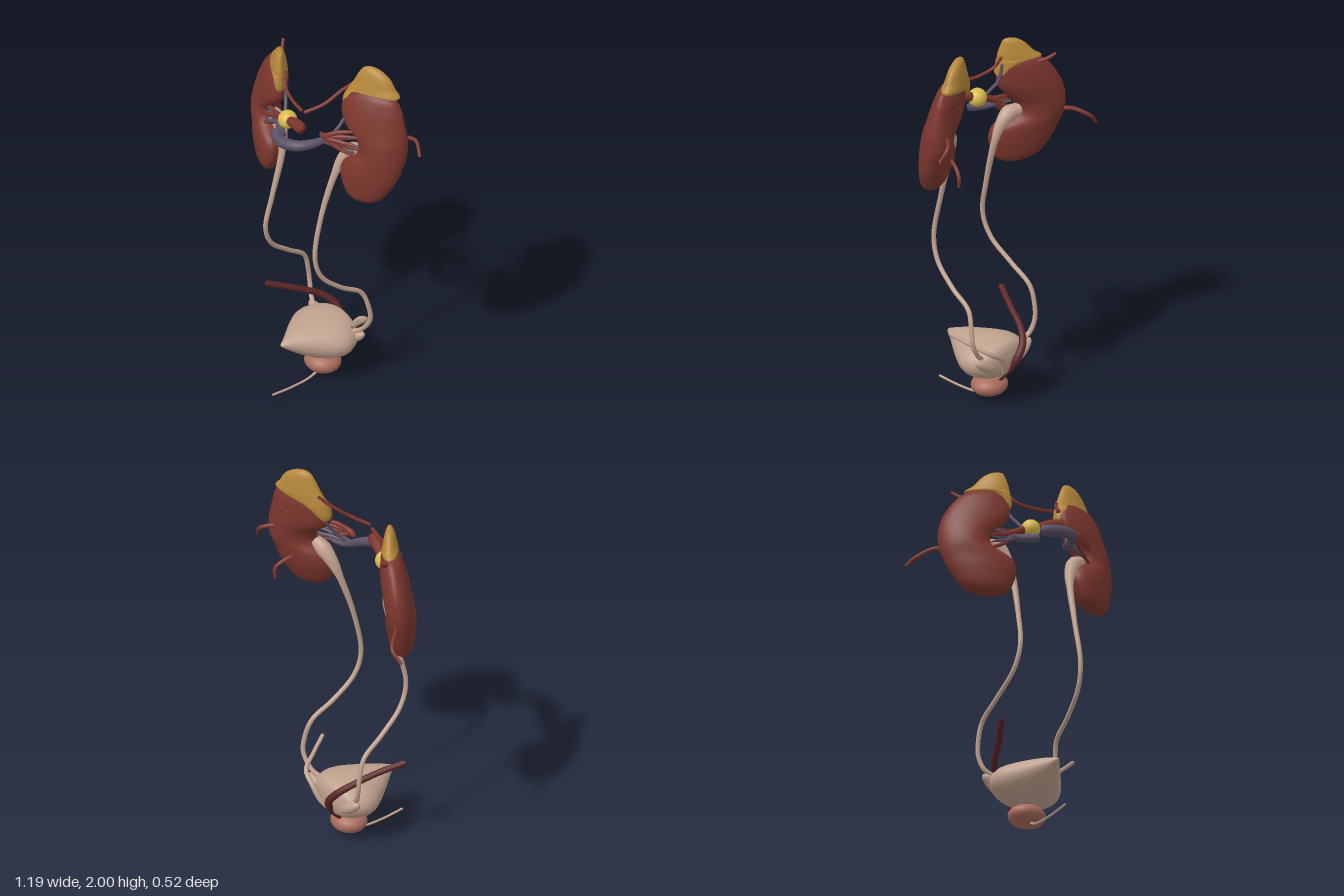
import * as THREE from 'three';

const mat = (name, color) => {
  const m = new THREE.MeshStandardMaterial({ color });
  m.name = name;
  return m;
};

// Smooth closed body from slices [t, lo, hi, centre, halfDepth]; shear tilts it in plan
function loft(rows, shear = 0, pivot = 0) {
  const seg = 32, n = (rows.length - 1) * 6;
  const edges = new THREE.CatmullRomCurve3(rows.map(r => new THREE.Vector3(r[1], r[0], r[2])), false, 'catmullrom', 0.5);
  const depth = new THREE.CatmullRomCurve3(rows.map(r => new THREE.Vector3(r[3], r[4], 0)), false, 'catmullrom', 0.5);
  const pos = [], idx = [];
  for (let i = 0; i <= n; i++) {
    const e = edges.getPoint(i / n), d = depth.getPoint(i / n);
    for (let j = 0; j < seg; j++) {
      const a = (j / seg) * Math.PI * 2;
      const x = (e.x + e.z) / 2 + ((e.z - e.x) / 2) * Math.cos(a);
      pos.push(x, e.y, d.x + Math.max(0, d.y) * Math.sin(a) + shear * (x - pivot));
      if (i === n) continue;
      const p = i * seg + j, q = i * seg + (j + 1) % seg;
      idx.push(p, p + seg, q, q, p + seg, q + seg);
    }
  }
  const g = new THREE.BufferGeometry();
  g.setAttribute('position', new THREE.Float32BufferAttribute(pos, 3));
  g.setIndex(idx);
  g.computeVertexNormals();
  return g;
}

// Tube through points [x, y, z, radius], closed at both ends
function vessel(pts, n = pts.length * 10, sides = 12) {
  const curve = new THREE.CatmullRomCurve3(pts.map(p => new THREE.Vector3(p[0], p[1], p[2])));
  const g = new THREE.TubeGeometry(curve, n, 1, sides);
  const pos = g.attributes.position, v = new THREE.Vector3();
  for (let i = 0; i <= n; i++) {
    const c = curve.getPointAt(i / n);
    const t = curve.getUtoTmapping(i / n) * (pts.length - 1);
    const k = Math.min(Math.floor(t), pts.length - 2);
    const r = i === 0 || i === n ? 0 : THREE.MathUtils.lerp(pts[k][3], pts[k + 1][3], t - k);
    for (let j = 0; j <= sides; j++) {
      const id = i * (sides + 1) + j;
      v.fromBufferAttribute(pos, id).sub(c).multiplyScalar(r).add(c);
      pos.setXYZ(id, v.x, v.y, v.z);
    }
  }
  return g;
}

export function createModel() {
  const model = new THREE.Group();
  const kidney = mat('kidney red', 0x7b362d);
  const artery = mat('artery red', 0x7d352c);
  const adrenal = mat('adrenal ochre', 0xb5873a);
  const beige = mat('bladder beige', 0xc0a18e);
  const vein = mat('vein violet', 0x5a5064);
  const gland = mat('gland pink', 0xa86b5c);
  const duct = mat('duct dark red', 0x5a2526);
  const yellow = mat('node yellow', 0xd9bc4c);
  const add = (name, geo, m) => {
    const mesh = new THREE.Mesh(geo, m);
    mesh.name = name;
    model.add(mesh);
    return mesh;
  };
  const ball = (name, m, [x, y, z], [rx, ry, rz], rotZ = 0) => {
    const b = add(name, new THREE.SphereGeometry(1, 32, 20), m);
    b.position.set(x, y, z);
    b.scale.set(rx, ry, rz);
    b.rotation.z = rotZ;
  };

  // Kidneys
  add('leftKidney', loft([
    [1.275, 0.41, 0.41, -0.02, 0], [1.29, 0.35, 0.47, -0.025, 0.04], [1.33, 0.305, 0.51, -0.035, 0.068],
    [1.42, 0.268, 0.55, -0.055, 0.088], [1.49, 0.285, 0.565, -0.07, 0.092], [1.55, 0.345, 0.57, -0.085, 0.092],
    [1.62, 0.325, 0.57, -0.095, 0.09], [1.68, 0.25, 0.56, -0.105, 0.086], [1.75, 0.22, 0.54, -0.115, 0.077],
    [1.81, 0.23, 0.52, -0.125, 0.064], [1.86, 0.275, 0.48, -0.13, 0.04], [1.882, 0.37, 0.37, -0.135, 0]], -0.32, 0.4), kidney);
  add('rightKidney', loft([
    [1.172, -0.25, -0.25, 0, 0], [1.19, -0.325, -0.195, 0, 0.04], [1.23, -0.385, -0.165, -0.003, 0.066],
    [1.31, -0.43, -0.142, -0.01, 0.083], [1.38, -0.455, -0.158, -0.018, 0.088], [1.44, -0.467, -0.24, -0.025, 0.09],
    [1.5, -0.468, -0.25, -0.034, 0.09], [1.56, -0.46, -0.2, -0.043, 0.087], [1.62, -0.44, -0.155, -0.05, 0.083],
    [1.69, -0.4, -0.148, -0.058, 0.072], [1.75, -0.345, -0.165, -0.065, 0.052], [1.79, -0.24, -0.24, -0.07, 0]], 0.5, -0.3), kidney);

  // Adrenal glands, capping the kidneys
  add('leftAdrenal', loft([
    [1.72, 0.23, 0.23, -0.12, 0], [1.75, 0.208, 0.255, -0.12, 0.03], [1.81, 0.212, 0.33, -0.125, 0.052],
    [1.855, 0.228, 0.485, -0.135, 0.056], [1.9, 0.25, 0.465, -0.14, 0.047], [1.95, 0.272, 0.435, -0.143, 0.036],
    [1.985, 0.295, 0.385, -0.145, 0.022], [2.0, 0.33, 0.33, -0.145, 0]], -0.32, 0.35), adrenal);
  add('rightAdrenal', loft([
    [1.66, -0.155, -0.155, -0.02, 0], [1.69, -0.19, -0.142, -0.02, 0.035], [1.75, -0.25, -0.146, -0.022, 0.05],
    [1.77, -0.33, -0.148, -0.022, 0.052], [1.8, -0.3, -0.152, -0.022, 0.045], [1.85, -0.26, -0.165, -0.022, 0.03],
    [1.872, -0.23, -0.175, -0.022, 0.016], [1.88, -0.2, -0.2, -0.022, 0]], 0.65, -0.22), adrenal);

  // Ureters, widening into the renal pelvis
  add('leftUreter', vessel([
    [0.36, 1.55, -0.05, 0.03], [0.3, 1.52, -0.04, 0.042], [0.255, 1.45, -0.015, 0.03], [0.232, 1.36, 0.015, 0.018],
    [0.212, 1.13, 0.085, 0.013], [0.215, 0.89, 0.13, 0.012], [0.225, 0.77, 0.095, 0.012], [0.243, 0.66, -0.02, 0.012],
    [0.26, 0.58, -0.14, 0.012], [0.277, 0.48, -0.175, 0.012], [0.275, 0.4, -0.185, 0.012], [0.22, 0.32, -0.175, 0.012],
    [0.15, 0.28, -0.14, 0.012]], 120), beige);
  add('rightUreter', vessel([
    [-0.27, 1.47, -0.02, 0.03], [-0.2, 1.46, 0, 0.042], [-0.16, 1.41, 0.015, 0.03], [-0.136, 1.32, 0.035, 0.018],
    [-0.14, 1.08, 0.095, 0.013], [-0.153, 0.89, 0.13, 0.012], [-0.162, 0.77, 0.085, 0.012], [-0.175, 0.66, -0.04, 0.012],
    [-0.182, 0.57, -0.155, 0.012], [-0.186, 0.47, -0.185, 0.012], [-0.18, 0.39, -0.19, 0.012], [-0.15, 0.32, -0.175, 0.012],
    [-0.08, 0.28, -0.14, 0.012]], 120), beige);

  // Bladder, sliced from back to front
  const bladder = loft([
    [-0.222, 0.27, 0.27, 0.035, 0], [-0.21, 0.2, 0.325, 0.035, 0.09], [-0.18, 0.16, 0.348, 0.035, 0.155],
    [-0.11, 0.14, 0.356, 0.035, 0.19], [-0.05, 0.142, 0.353, 0.035, 0.183], [0.02, 0.165, 0.345, 0.035, 0.14],
    [0.09, 0.205, 0.334, 0.035, 0.086], [0.15, 0.25, 0.317, 0.035, 0.038], [0.185, 0.28, 0.304, 0.035, 0.014],
    [0.197, 0.293, 0.293, 0.035, 0]]);
  const p = bladder.attributes.position;
  for (let i = 0; i < p.count; i++) p.setXYZ(i, p.getZ(i), p.getX(i), p.getY(i));
  bladder.computeVertexNormals();
  add('bladder', bladder, beige);

  // Seminal vesicles, prostate, urethra
  for (const s of [-1, 1])
    ball('seminalVesicle', beige, [0.037 + s * 0.12, 0.245, -0.175], [0.095, 0.032, 0.035], s * 0.55);
  ball('prostate', gland, [0.037, 0.082, -0.082], [0.098, 0.056, 0.09]);
  add('urethra', vessel([[0.037, 0.07, -0.07, 0.008], [0.037, 0.03, -0.04, 0.007], [0.036, 0.012, 0.01, 0.006],
    [0.035, 0.01, 0.13, 0.006], [0.035, 0.023, 0.257, 0.006]]), beige);

  // Ducts curving behind the bladder
  add('leftDuct', vessel([[0.3, 0.44, -0.04, 0.01], [0.25, 0.39, -0.14, 0.01], [0.2, 0.345, -0.225, 0.012],
    [0.13, 0.3, -0.24, 0.014], [0.08, 0.22, -0.22, 0.014], [0.045, 0.13, -0.14, 0.01]]), beige);
  add('rightDuct', vessel([[-0.225, 0.485, 0.075, 0.016], [-0.15, 0.43, -0.06, 0.016], [-0.09, 0.37, -0.18, 0.017],
    [-0.045, 0.32, -0.23, 0.019], [0, 0.26, -0.237, 0.02], [0.02, 0.19, -0.2, 0.018], [0.03, 0.12, -0.14, 0.012]]), duct);

  // Renal arteries and their fans into the kidneys
  ball('node', yellow, [-0.05, 1.578, 0.075], [0.048, 0.048, 0.048]);
  add('rightRenalArtery', vessel([[-0.2, 1.515, 0.035, 0.012], [-0.1, 1.56, 0.065, 0.02], [0, 1.595, 0.09, 0.025],
    [0.06, 1.615, 0.108, 0.031], [0.1, 1.622, 0.12, 0.03], [0.115, 1.624, 0.122, 0.015]], 50), artery);
  const fan = (name, m, from, ends, r) => ends.forEach(e => add(name, vessel([
    [...from, r], [from[0] * 0.5 + e[0] * 0.5, from[1] * 0.35 + e[1] * 0.65, from[2] * 0.5 + e[2] * 0.5, r * 0.9],
    [...e, r * 0.6]], 16, 8), m));
  fan('rightArteryBranch', artery, [-0.12, 1.55, 0.06],
    [[-0.27, 1.54, 0.02], [-0.27, 1.5, 0.05], [-0.26, 1.47, 0.01], [-0.27, 1.43, 0.04]], 0.012);
  fan('leftArteryBranch', artery, [0.215, 1.61, 0.075],
    [[0.37, 1.64, -0.02], [0.37, 1.6, 0.0], [0.38, 1.56, -0.04], [0.37, 1.53, -0.01]], 0.013);
  add('leftRenalArtery', vessel([[0.18, 1.608, 0.06, 0.01], [0.215, 1.615, 0.07, 0.015], [0.28, 1.65, 0.03, 0.012],
    [0.35, 1.66, -0.03, 0.008]]), artery);

  // Arteries to the adrenals
  add('rightAdrenalArtery', vessel([[-0.15, 1.79, 0.0, 0.008], [-0.12, 1.73, 0.03, 0.008], [-0.04, 1.702, 0.06, 0.008],
    [0.075, 1.7, 0.09, 0.009]]), artery);
  add('leftAdrenalArtery', vessel([[0.095, 1.705, 0.1, 0.009], [0.16, 1.755, 0.02, 0.009], [0.2, 1.82, -0.06, 0.009],
    [0.25, 1.88, -0.12, 0.008]]), artery);

  // Small arteries on the outer backs of the kidneys
  for (const path of [
    [[-0.42, 1.45, -0.13, 0.011], [-0.47, 1.45, -0.18, 0.011], [-0.53, 1.41, -0.245, 0.01], [-0.595, 1.345, -0.235, 0.008]],
    [[0.45, 1.62, -0.15, 0.011], [0.485, 1.625, -0.195, 0.011], [0.54, 1.605, -0.25, 0.01], [0.59, 1.535, -0.235, 0.008]],
    [[0.36, 1.72, -0.15, 0.01], [0.4, 1.745, -0.195, 0.01], [0.44, 1.78, -0.235, 0.008]],
    [[0.4, 1.47, -0.13, 0.01], [0.42, 1.45, -0.19, 0.01], [0.44, 1.41, -0.235, 0.01], [0.44, 1.35, -0.235, 0.008]],
    [[-0.3, 1.74, -0.1, 0.01], [-0.33, 1.76, -0.14, 0.01], [-0.36, 1.79, -0.175, 0.008]]])
    add('capsularArtery', vessel(path), artery);

  // Renal veins, their branches and the adrenal veins
  add('leftRenalVein', vessel([[-0.05, 1.54, 0.155, 0.026], [-0.01, 1.54, 0.18, 0.031], [0.06, 1.547, 0.195, 0.03],
    [0.135, 1.558, 0.17, 0.028], [0.18, 1.565, 0.1, 0.023], [0.2, 1.572, 0.02, 0.015], [0.25, 1.59, -0.03, 0.01]], 60), vein);
  add('rightRenalVein', vessel([[-0.03, 1.515, 0.125, 0.02], [-0.06, 1.512, 0.11, 0.022], [-0.12, 1.512, 0.07, 0.019],
    [-0.18, 1.52, 0.04, 0.012]]), vein);
  fan('leftVeinBranch', vein, [0.19, 1.568, 0.06], [[0.36, 1.62, -0.04], [0.37, 1.58, -0.03], [0.36, 1.55, -0.01]], 0.011);
  fan('rightVeinBranch', vein, [-0.13, 1.514, 0.062], [[-0.26, 1.54, 0.03], [-0.26, 1.5, 0.03], [-0.25, 1.47, 0.05]], 0.01);
  add('leftAdrenalVein', vessel([[0.2, 1.57, 0.04, 0.009], [0.23, 1.64, -0.02, 0.009], [0.235, 1.75, -0.1, 0.008]]), vein);
  add('rightAdrenalVein', vessel([[-0.06, 1.53, 0.1, 0.009], [-0.1, 1.6, 0.045, 0.009], [-0.135, 1.66, 0.01, 0.009],
    [-0.155, 1.75, 0, 0.008]]), vein);

  return model;
}
